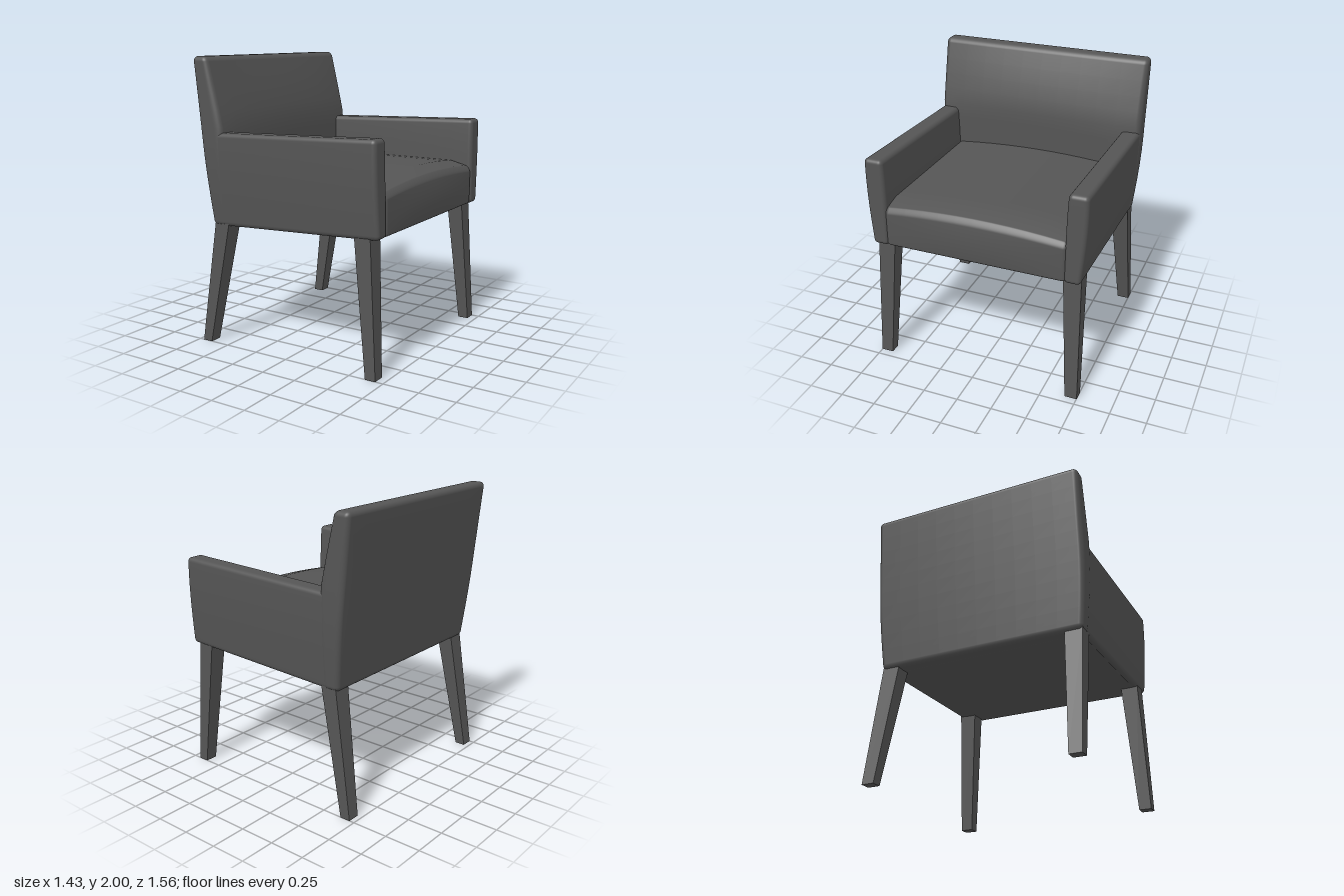
import * as THREE from 'three';
import { mergeVertices } from 'three/addons/utils/BufferGeometryUtils.js';

const fabric = new THREE.MeshStandardMaterial({ color: 0x555555 });
const wood = new THREE.MeshStandardMaterial({ color: 0x555555 });
const { lerp, smoothstep, clamp } = THREE.MathUtils;

// Rounded block of size [w, h, d]; rule maps u, v, w in -1..1 to the final x, y, z
function softBlock(name, size, r, rule) {
  const N = 18, K = 4; // K of the N steps at each end follow the rounded edge
  let geo = new THREE.BoxGeometry(2, 2, 2, N, N, N);
  geo.deleteAttribute('normal');
  geo.deleteAttribute('uv');
  geo = mergeVertices(geo, 1e-4);
  const pos = geo.attributes.position;
  const p = new THREE.Vector3(), core = new THREE.Vector3();
  for (let i = 0; i < pos.count; i++) {
    p.fromBufferAttribute(pos, i);
    for (let a = 0; a < 3; a++) {
      const half = size[a] / 2, inner = half - r;
      const t = p.getComponent(a), step = Math.abs(t) * N / 2, flat = N / 2 - K;
      const c = step <= flat ? inner * step / flat
        : inner + r * Math.tan((step - flat) / K * Math.PI / 4);
      p.setComponent(a, Math.sign(t) * c);
      core.setComponent(a, clamp(p.getComponent(a), -inner, inner));
    }
    p.sub(core).setLength(r).add(core);
    pos.setXYZ(i, ...rule(2 * p.x / size[0], 2 * p.y / size[1], 2 * p.z / size[2]));
  }
  geo.computeVertexNormals();
  const mesh = new THREE.Mesh(geo, fabric);
  mesh.name = name;
  return mesh;
}

const unit = t => (t + 1) / 2;
const dome = t => Math.max(0, 1 - t * t);
// Underside slopes up to the front; outer width grows slightly with height
const underside = x => lerp(0.85, 0.905, (x + 0.61) / 1.31);
const halfWidth = y => 0.74 + 0.04 * Math.sin(Math.PI / 2 * clamp((y - 0.85) / 0.6, 0, 1));

// Tapered square leg from its bottom and top footprints [x0, x1, z0, z1]
function leg(name, bottom, top, topY, side) {
  const geo = new THREE.BoxGeometry(1, 1, 1);
  const pos = geo.attributes.position;
  for (let i = 0; i < pos.count; i++) {
    const up = pos.getY(i) > 0, f = up ? top : bottom;
    const x = f[pos.getX(i) > 0 ? 1 : 0];
    const outer = pos.getZ(i) * side > 0;
    pos.setXYZ(i, x, up ? topY : 0, side * f[outer ? 3 : 2]);
  }
  geo.computeVertexNormals();
  const mesh = new THREE.Mesh(geo, wood);
  mesh.name = name;
  return mesh;
}

export function createModel() {
  const chair = new THREE.Group();
  chair.name = 'armchair';

  // Backrest: raked slab with a padded inner face
  chair.add(softBlock('backrest', [0.13, 1.15, 1.55], 0.035, (u, v, w) => {
    const y = lerp(0.85, 2, unit(v));
    const rear = lerp(-0.605, -0.72, unit(v));
    const front = -0.488 - 0.115 * Math.max(0, (y - 1.5) / 0.5);
    const pad = (0.012 + 0.02 * dome((y - 1.72) / 0.28)) * dome(w) ** 0.6 * dome(v) ** 0.5;
    return [lerp(rear, front + pad, unit(u)), y, w * halfWidth(y)];
  }));

  // Seat: crowned cushion with a soft front edge
  chair.add(softBlock('seat', [1.25, 0.35, 1.29], 0.03, (u, v, w) => {
    const x = lerp(-0.56, 0.7, unit(u)) + 0.013 * dome(v) * dome(w) * unit(u);
    const roll = 0.06 * smoothstep(x, 0.58, 0.72) ** 2;
    const top = 1.218 + 0.038 * dome(w) - roll;
    return [x, lerp(underside(x), top, unit(v)), w * 0.645];
  }));

  // Underside panel
  chair.add(softBlock('bottomPanel', [1.2, 0.03, 1.4], 0.005, (u, v, w) => {
    const x = lerp(-0.57, 0.66, unit(u));
    return [x, underside(x) + 0.012 + v * 0.014, w * 0.7];
  }));

  for (const side of [1, -1]) {
    const label = side > 0 ? 'left' : 'right';

    // Arm: upholstered panel running into the backrest
    chair.add(softBlock(label + 'Arm', [1.28, 0.62, 0.14], 0.03, (u, v, w) => {
      const x = lerp(-0.585, 0.705, unit(u)) - 0.008 * unit(v) * unit(u);
      const y = lerp(underside(x), lerp(1.492, 1.53, unit(u)), unit(v));
      const inner = 0.632 + 0.012 * unit(v) ** 4;
      const outer = halfWidth(y) - 0.004;
      return [x, y, side * lerp(inner, outer, unit(w * side * side))];
    }));

    // Legs
    chair.add(leg(label + 'FrontLeg', [0.62, 0.695, 0.665, 0.752], [0.525, 0.642, 0.61, 0.735], 0.93, side));
    chair.add(leg(label + 'RearLeg', [-0.715, -0.642, 0.665, 0.752], [-0.585, -0.468, 0.61, 0.735], 0.89, side));
  }

  // Mirrored parts need their winding turned outward again
  chair.traverse(o => {
    if (!o.isMesh || !o.name.startsWith('right')) return;
    const index = o.geometry.index;
    for (let i = 0; i < index.count; i += 3) {
      const a = index.getX(i);
      index.setX(i, index.getX(i + 1));
      index.setX(i + 1, a);
    }
    if (o.name.endsWith('Arm')) o.geometry.computeVertexNormals();
  });
  // Leg corners: the mirrored footprint already swaps sides, so restore theirs
  chair.traverse(o => {
    if (!o.isMesh || !/^right.*Leg$/.test(o.name)) return;
    const index = o.geometry.index;
    for (let i = 0; i < index.count; i += 3) {
      const a = index.getX(i);
      index.setX(i, index.getX(i + 1));
      index.setX(i + 1, a);
    }
  });
  return chair;
}
